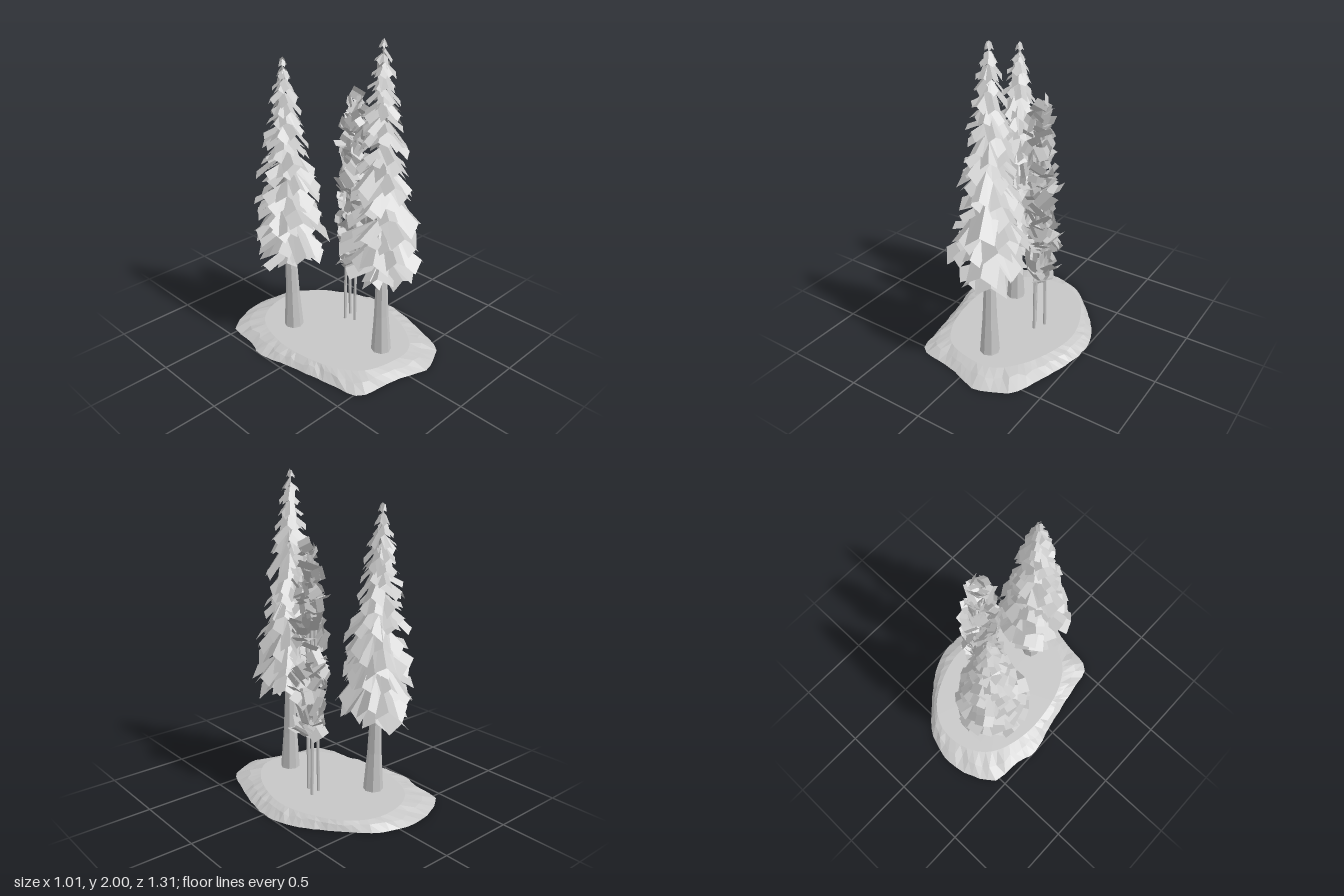
import * as THREE from 'three';

const grey = new THREE.MeshStandardMaterial({ color: 0xc6c6c6, flatShading: true, side: THREE.DoubleSide });
grey.name = 'pale grey';

let seed = 7;
const rnd = () => (seed = (seed * 16807) % 2147483647) / 2147483647;
const vary = (a) => (rnd() * 2 - 1) * a;
const V = (x, y, z) => new THREE.Vector3(x, y, z);

// Mesh made of loose quads, each given as four vectors
function quadMesh(quads, name) {
  const pos = [];
  for (const [a, b, c, d] of quads) for (const p of [a, b, c, a, c, d]) pos.push(p.x, p.y, p.z);
  const g = new THREE.BufferGeometry();
  g.setAttribute('position', new THREE.Float32BufferAttribute(pos, 3));
  g.computeVertexNormals();
  const m = new THREE.Mesh(g, grey);
  m.name = name;
  return m;
}

// Ground: closed smooth outlines joined into a shallow mound
function outline(pts, y, rough, n = 72) {
  const curve = new THREE.CatmullRomCurve3(pts.map(([x, z]) => V(x, 0, z)), true);
  const ring = curve.getPoints(300);
  return Array.from({ length: n }, (_, i) => {
    const a = (i / n) * Math.PI * 2;
    // pick the outline point lying closest to this bearing
    let best = ring[0], err = 9;
    for (const p of ring) {
      const d = Math.atan2(p.z, p.x) - a;
      const e = Math.abs(Math.atan2(Math.sin(d), Math.cos(d)));
      if (e < err) { err = e; best = p; }
    }
    const s = 1 + vary(rough);
    return V(best.x * s, y, best.z * s);
  });
}

function ground() {
  const edge = [[-0.44, -0.53], [-0.35, -0.59], [-0.25, -0.64], [-0.08, -0.655], [0.12, -0.6], [0.25, -0.48], [0.4, -0.3],
    [0.46, -0.2], [0.5, -0.08], [0.5, 0.05], [0.47, 0.2], [0.42, 0.35], [0.34, 0.55], [0.2, 0.63], [0.1, 0.65],
    [0, 0.61], [-0.13, 0.57], [-0.25, 0.56], [-0.36, 0.51], [-0.39, 0.35], [-0.43, 0.15], [-0.46, 0], [-0.5, -0.2], [-0.46, -0.35]];
  const plateau = [[-0.05, -0.53], [0.1, -0.52], [0.25, -0.42], [0.36, -0.22], [0.4, -0.04], [0.37, 0.15],
    [0.28, 0.35], [0.15, 0.48], [0, 0.49], [-0.2, 0.43], [-0.3, 0.3], [-0.36, 0.1], [-0.37, -0.15], [-0.3, -0.38], [-0.2, -0.48]];
  const low = outline(edge, 0, 0.008), top = outline(plateau, 0.05, 0);
  const mid = low.map((p, i) => p.clone().lerp(top[i], 0.5 + vary(0.12)).setY(0.032 + vary(0.007)));
  const under = top.map((p) => V(p.x * 0.97, 0.025, p.z * 0.97));
  const rings = [under, low, mid, top], quads = [];
  const n = low.length, cTop = V(0, 0.05, 0), cLow = V(0, 0.025, 0);
  for (let i = 0; i < n; i++) {
    const j = (i + 1) % n;
    for (let r = 0; r < 3; r++) quads.push([rings[r][i], rings[r + 1][i], rings[r + 1][j], rings[r][j]]);
    quads.push([top[i], cTop, cTop, top[j]], [under[j], cLow, cLow, under[i]]);
  }
  return quadMesh(quads, 'ground');
}

// Flared, tapering trunk
function trunk(height) {
  const profile = [[0.068, 0], [0.062, 0.06], [0.045, 0.3], [0.034, 0.58], [0.022, 1.1], [0.004, height]];
  const m = new THREE.Mesh(new THREE.LatheGeometry(profile.map(([r, y]) => new THREE.Vector2(r, y)), 8), grey);
  m.name = 'trunk';
  return m;
}

// Conifer: uneven whorls of ridged branch plates, flatter towards -x, on a slightly leaning trunk
function conifer(name, x, z, base, top) {
  const tree = new THREE.Group();
  tree.name = name;
  tree.add(trunk(top - 0.03));
  const quads = [], rings = 17;
  for (let k = 0; k < rings; k++) {
    const t = k / (rings - 1);
    const tipY = base + 0.06 + (top - base - 0.1) * Math.pow(t, 0.87);
    const R = 0.022 + 0.21 * Math.pow(1 - t, 0.8) * (k === 0 ? 0.8 : 1);
    const count = Math.round(8 - 3 * t);
    for (let i = 0; i < count; i++) {
      const a = ((i + k * 0.38) / count) * Math.PI * 2 + vary(0.3);
      const r = R * (1 + vary(0.18)), y = tipY + vary(0.05) * (1 - t);
      const w = (0.017 + 0.06 * Math.pow(1 - t, 0.7)) * (1 + vary(0.25));
      const inner = r * 0.15, rise = r * (0.62 + 0.26 * Math.cos(a) + vary(0.2)) + 0.02 * t;
      const at = (d, h, s) => V(Math.cos(a) * d - Math.sin(a) * s, h, Math.sin(a) * d + Math.cos(a) * s);
      const ridgeIn = at(inner, y + rise, 0), ridgeOut = at(r, y, 0);
      for (const s of [-1, 1]) {
        const drop = w * (0.65 + vary(0.3));
        quads.push([ridgeIn, ridgeOut, at(r * 0.95, y - drop, s * w), at(inner, y + rise - drop, s * w * 0.9)]);
      }
    }
  }
  tree.add(quadMesh(quads, 'branches'));
  tree.position.set(x, 0, z);
  tree.rotation.x = -0.022;
  return tree;
}

// Slender broadleaf clump: thin stems under a column of tilted leaf plates
function leafyTree(x, z) {
  const tree = new THREE.Group();
  tree.name = 'leafyTree';
  for (const [sx, sz, lean] of [[-0.04, -0.035, 0.02], [-0.01, 0.025, 0.01], [0.025, -0.05, -0.02]]) {
    const path = new THREE.CatmullRomCurve3([V(sx, 0.01, sz), V(sx + lean * 0.3, 0.5, sz), V(sx + lean, 1.45, sz * 0.6)]);
    const stem = new THREE.Mesh(new THREE.TubeGeometry(path, 6, 0.01, 6), grey);
    stem.name = 'stem';
    tree.add(stem);
  }
  const quads = [], count = 130;
  for (let i = 0; i < count; i++) {
    const t = (i + 0.5) / count, a = i * 2.4 + vary(0.5);
    const reach = 0.025 + 0.075 * Math.pow(Math.sin(Math.PI * (0.14 + t * 0.84)), 0.7);
    const d = reach * (0.35 + rnd() * 0.7);
    const c = V(Math.cos(a) * d, 0.45 + t * 1.14 + vary(0.02), Math.sin(a) * d);
    // plates lean outward as they rise
    const turn = new THREE.Euler(0.4 + vary(0.9), Math.PI / 2 - a + vary(1.1), vary(1.1), 'YXZ');
    const size = (0.04 + rnd() * 0.026) * (1 - 0.3 * t);
    const corner = (u, v, w = 0) => V(u * size, v * size * 1.05, w * size).applyEuler(turn).add(c);
    // plate folded along its middle
    quads.push([corner(-1, -1), corner(0, -1, 0.4), corner(0, 1, 0.4), corner(-1, 1)],
      [corner(0, -1, 0.4), corner(1, -1), corner(1, 1), corner(0, 1, 0.4)]);
  }
  tree.add(quadMesh(quads, 'leaves'));
  tree.position.set(x, 0, z);
  return tree;
}

export function createModel() {
  const model = new THREE.Group();
  model.name = 'treeGrove';
  model.add(
    ground(),
    conifer('tallConifer', 0.037, 0.35, 0.57, 2),
    conifer('shortConifer', -0.163, -0.246, 0.53, 1.83),
    leafyTree(0.16, -0.015),
  );
  return model;
}
